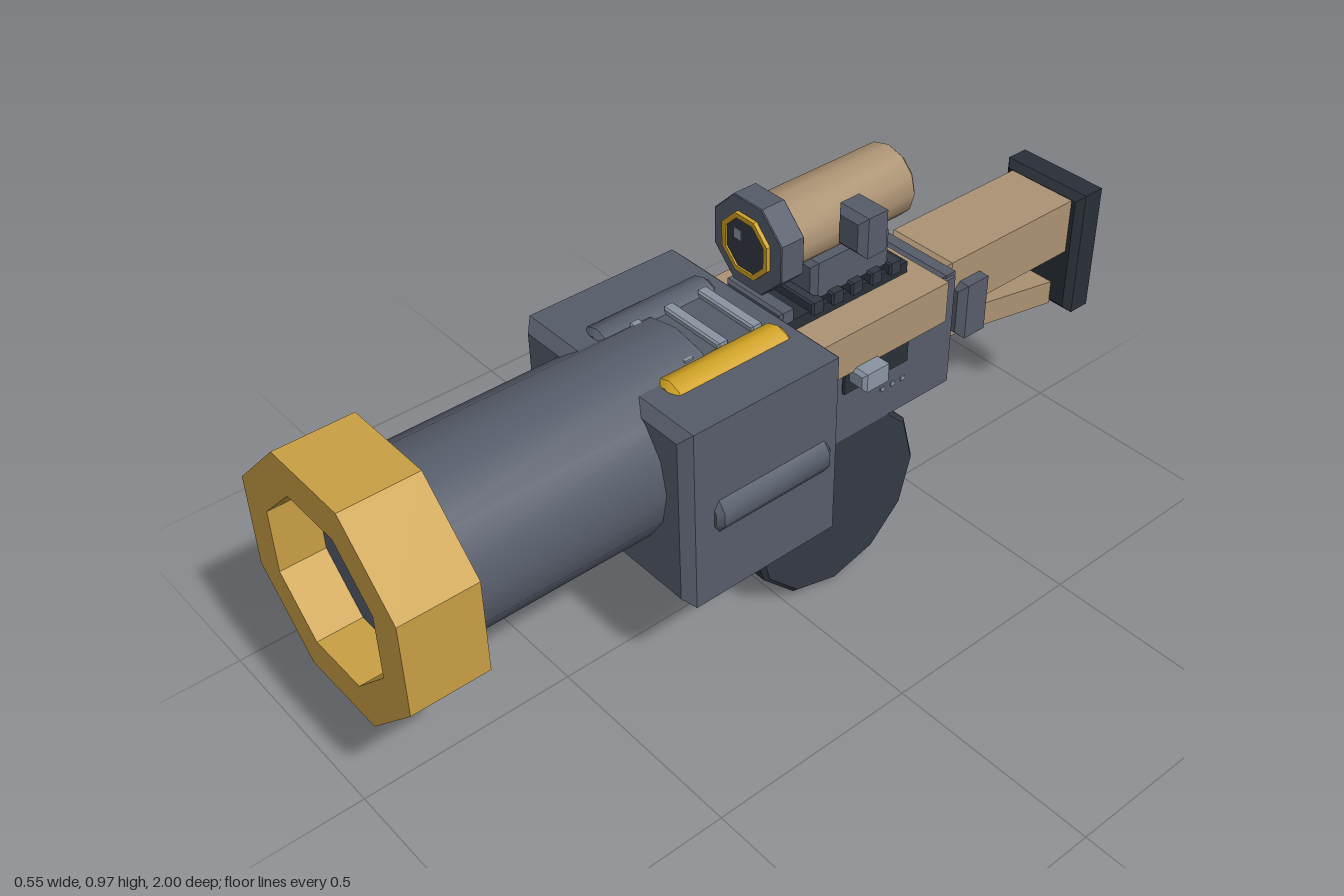
import * as THREE from 'three';
import { toCreasedNormals } from 'three/addons/utils/BufferGeometryUtils.js';

const mat = (name, color) => {
  const m = new THREE.MeshStandardMaterial({ color });
  m.name = name;
  return m;
};

export function createModel() {
  const group = new THREE.Group();
  const steel = mat('steel grey', 0x565c6a);
  const dark = mat('dark polymer', 0x333943);
  const black = mat('black rubber', 0x2a2f38);
  const tan = mat('tan', 0xab9273);
  const brass = mat('brass', 0xc99f45);
  const gold = mat('gold', 0xd0a224);
  const silver = mat('silver', 0x8a95a3);

  const add = (name, geometry, material, x, y, z) => {
    const mesh = new THREE.Mesh(geometry, material);
    mesh.name = name;
    mesh.position.set(x, y, z);
    group.add(mesh);
    return mesh;
  };

  // Chamfered box given by its limits on each axis
  const box = (name, material, [x0, x1], [y0, y1], [z0, z1], c = 0.015) => {
    const w = (x1 - x0) / 2 - c, h = (y1 - y0) / 2 - c, d = z1 - z0 - 2 * c;
    const s = new THREE.Shape([
      new THREE.Vector2(-w, -h), new THREE.Vector2(w, -h),
      new THREE.Vector2(w, h), new THREE.Vector2(-w, h),
    ]);
    const g = new THREE.ExtrudeGeometry(s, {
      depth: d, bevelEnabled: c > 0, bevelSize: c, bevelThickness: c, bevelSegments: 1,
    });
    g.translate(0, 0, -d / 2);
    return add(name, g, material, (x0 + x1) / 2, (y0 + y1) / 2, (z0 + z1) / 2);
  };

  // Turned part: profile of [radius, height], spun about z or x
  const turned = (name, material, profile, sides, axis, x, y, z, spin = 0) => {
    let g = new THREE.LatheGeometry(profile.map(p => new THREE.Vector2(...p)), sides);
    g.rotateY(spin);
    if (axis === 'z') g.rotateX(Math.PI / 2);
    else g.rotateZ(-Math.PI / 2);
    g = toCreasedNormals(g, 0.66);
    return add(name, g, material, x, y, z);
  };
  const rod = (r, len, c) => [
    [0, -len / 2], [r - c, -len / 2], [r, -len / 2 + c],
    [r, len / 2 - c], [r - c, len / 2], [0, len / 2],
  ];
  const ring = (inner, outer, len) => [
    [inner, -len / 2], [outer, -len / 2], [outer, len / 2], [inner, len / 2], [inner, -len / 2],
  ];
  const FLAT = Math.PI / 8;
  const oct = apothem => apothem / Math.cos(FLAT);

  // Barrel and octagonal muzzle
  turned('barrel', steel, rod(0.198, 0.72, 0.001), 16, 'z', 0, 0.56, 0.54);
  turned('muzzle', brass, ring(oct(0.18), oct(0.26), 0.17), 8, 'z', 0, 0.56, 0.915, FLAT);

  // Receiver with six rods set into its faces
  box('receiver', steel, [-0.255, 0.255], [0.293, 0.73], [-0.04, 0.372], 0.022);
  for (let i = 0; i < 6; i++) {
    const a = i * Math.PI / 3;
    turned('receiverRod', i % 2 ? gold : steel, rod(0.05, 0.3, 0.012), 10, 'z',
      0.225 * Math.cos(a), 0.5 + 0.195 / 0.866 * Math.sin(a) , 0.152);
  }
  for (const z of [0.04, 0.128, 0.215])
    box('coolingFin', silver, [-0.088, 0.082], [0.72, 0.743], [z - 0.014, z + 0.014], 0.004);

  // Rear body and its tan cover
  box('rearBody', steel, [-0.155, 0.155], [0.4, 0.675], [-0.475, -0.02], 0.02);
  box('rearCap', steel, [-0.147, 0.147], [0.6, 0.682], [-0.478, -0.42], 0.015);
  box('topCover', tan, [-0.17, 0.17], [0.585, 0.685], [-0.44, -0.04], 0.022);
  for (const s of [-1, 1]) {
    const side = (a, b) => [Math.min(s * a, s * b), Math.max(s * a, s * b)];
    box('ejectionSlot', black, side(0.14, 0.16), [0.525, 0.598], [-0.32, -0.13], 0.003);
    box('boltHandle', silver, side(0.15, 0.205), [0.547, 0.592], [-0.222, -0.145], 0.008);
    for (const z of [-0.25, -0.28, -0.31])
      box('pin', silver, side(0.15, 0.158), [0.475, 0.485], [z - 0.006, z + 0.006], 0);
  }

  // Drum magazine with side plate and hub
  turned('drum', dark, rod(0.235, 0.31, 0.01), 12, 'x', 0, 0.235, -0.13);
  turned('drumPlate', tan, rod(0.205, 0.04, 0.01), 12, 'x', -0.172, 0.235, -0.13);
  turned('drumHub', silver, rod(0.066, 0.04, 0.008), 12, 'x', -0.205, 0.235, -0.13);
  box('drumBracket', dark, [-0.06, 0.06], [0.24, 0.43], [-0.36, -0.25], 0.01).rotation.x = -0.12;

  // Toothed rail and scope mount
  box('rail', black, [-0.085, 0.085], [0.67, 0.712], [-0.385, -0.02], 0.006);
  for (let i = 0; i < 5; i++) {
    const z = -0.115 - i * 0.055;
    box('railTooth', dark, [-0.095, 0.095], [0.705, 0.735], [z - 0.017, z + 0.017], 0.004);
  }
  box('frontSight', steel, [-0.085, 0.085], [0.71, 0.74], [-0.06, -0.02], 0.006);
  box('scopeMount', steel, [-0.078, 0.078], [0.728, 0.812], [-0.335, -0.115], 0.012);

  // Scope
  turned('scopeTube', tan, rod(0.082, 0.35, 0.01), 12, 'z', 0, 0.87, -0.225);
  turned('scopeHood', steel, rod(oct(0.1), 0.06, 0.002), 8, 'z', 0, 0.87, -0.035, FLAT);
  turned('lensRing', gold, ring(oct(0.056), oct(0.067), 0.02), 8, 'z', 0, 0.87, -0.006, FLAT);
  turned('lens', dark, rod(oct(0.058), 0.012, 0.001), 8, 'z', 0, 0.87, -0.006, FLAT);
  box('lensGlint', silver, [-0.033, -0.012], [0.876, 0.899], [-0.002, 0.002], 0);
  box('scopeKnob', steel, [0.07, 0.152], [0.832, 0.926], [-0.256, -0.174], 0.015);

  // Stock, butt pad, cross block and lower strut
  box('stock', tan, [-0.09, 0.09], [0.513, 0.65], [-0.93, -0.503], 0.014);
  box('buttPad', black, [-0.117, 0.117], [0.348, 0.667], [-0.995, -0.908], 0.016);
  box('stockBlock', steel, [-0.117, 0.117], [0.45, 0.59], [-0.625, -0.53], 0.016);
  box('lowerStrut', tan, [-0.06, 0.06], [0.385, 0.445], [-0.93, -0.55], 0.012).rotation.x = -0.19;

  return group;
}
